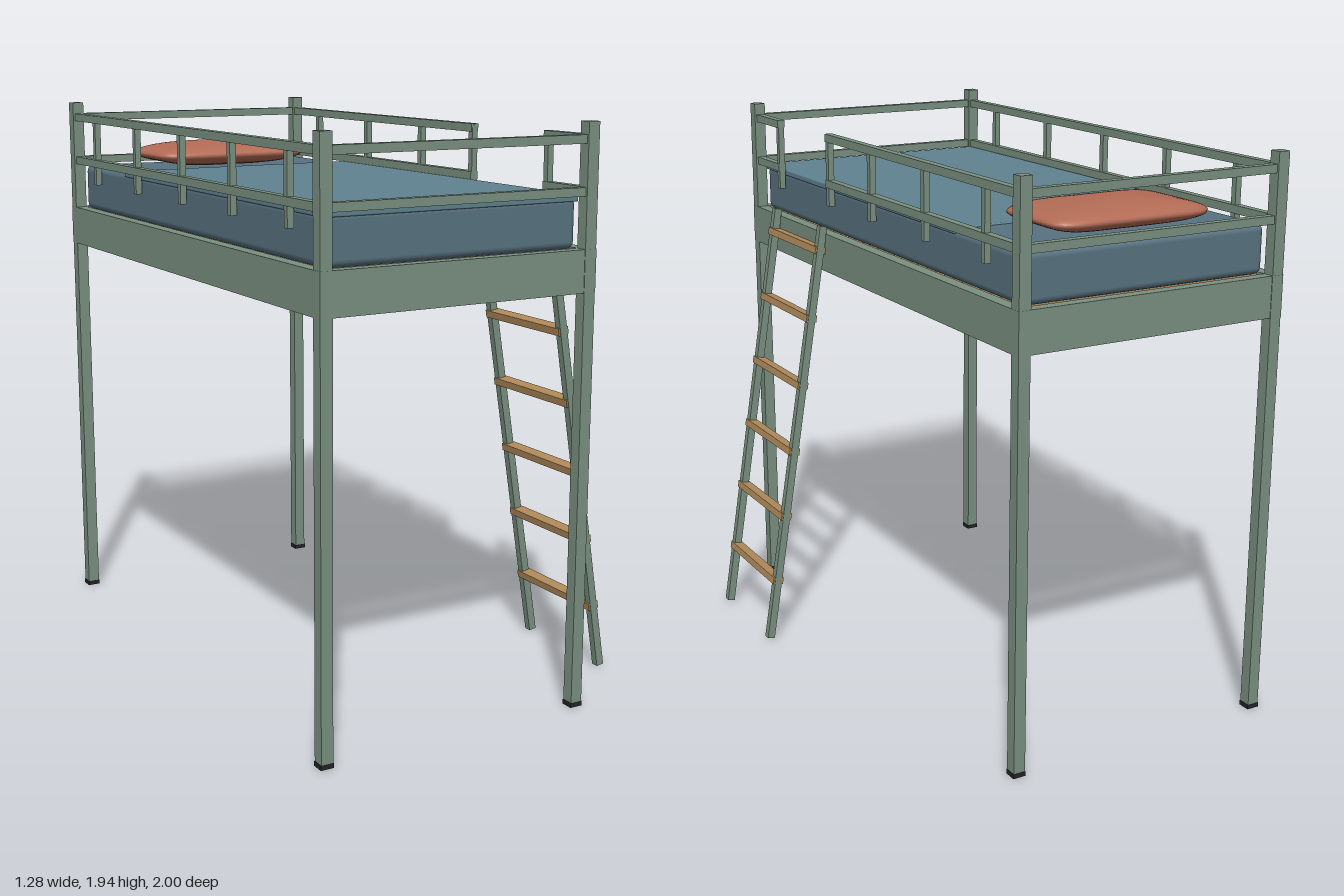
import * as THREE from 'three';
import { RoundedBoxGeometry } from 'three/addons/geometries/RoundedBoxGeometry.js';

const paint = (color) => new THREE.MeshStandardMaterial({ color });
const GREEN = paint(0x7a9080), WOOD = paint(0xb08a5a), DARK = paint(0x222426);
const SHEET = paint(0x587280), BLANKET = paint(0x5f828f), PILLOW = paint(0xb26b55);

const XL = 0.335, XR = -0.621, XM = (XL + XR) / 2; // post lines across the bed
const ZE = 0.978; // post lines along the bed
const POST = 0.042, RAIL = 0.028;

// Box given by its extents on each axis
function box(parent, name, mat, [x0, x1], [y0, y1], [z0, z1], radius = 0) {
  const s = [x1 - x0, y1 - y0, z1 - z0];
  const geo = radius ? new RoundedBoxGeometry(...s, 4, radius) : new THREE.BoxGeometry(...s);
  const mesh = new THREE.Mesh(geo, mat);
  mesh.name = name;
  mesh.position.set((x0 + x1) / 2, (y0 + y1) / 2, (z0 + z1) / 2);
  parent.add(mesh);
  return mesh;
}

const around = (c, size) => [c - size / 2, c + size / 2];

function group(parent, name) {
  const g = new THREE.Group();
  g.name = name;
  parent.add(g);
  return g;
}

// Two rails plus balusters along one long side
function guard(parent, name, x, z0, z1, balusters) {
  const g = group(parent, name);
  for (const y of [1.89, 1.726]) box(g, 'guardRail', GREEN, around(x, RAIL), around(y, RAIL), [z0, z1]);
  for (const z of balusters) box(g, 'baluster', GREEN, around(x, 0.022), [1.645, 1.9], around(z, 0.022));
}

// Cushion: a sphere squared off in plan
function pillowGeometry(hx, hy, hz) {
  const geo = new THREE.SphereGeometry(1, 64, 32);
  const p = geo.attributes.position;
  for (let i = 0; i < p.count; i++) {
    const x = p.getX(i), y = p.getY(i), z = p.getZ(i);
    const r = Math.hypot(x, z);
    const n = Math.pow(Math.abs(x) ** 7 + Math.abs(z) ** 7, 1 / 7) || 1;
    const k = r / n;
    p.setXYZ(i, x * k * hx, y * hy, z * k * hz);
  }
  geo.computeVertexNormals();
  return geo;
}

export function createModel() {
  const bed = new THREE.Group();
  bed.name = 'loftBed';

  // Posts with dark feet
  for (const x of [XL, XR]) for (const z of [ZE, -ZE]) {
    box(bed, 'post', GREEN, around(x, POST), [0.015, 1.945], around(z, POST));
    box(bed, 'foot', DARK, around(x, 0.046), [0, 0.016], around(z, 0.044));
  }

  // Deep frame beams
  const frame = group(bed, 'frame');
  for (const x of [XL, XR]) box(frame, 'sideBeam', GREEN, around(x, 0.044), [1.405, 1.545], [-1, 1]);
  for (const z of [ZE, -ZE]) box(frame, 'endBeam', GREEN, [XR, XL], [1.405, 1.545], around(z, 0.04));

  // Slats
  const slats = group(bed, 'slats');
  const count = 16;
  for (let i = 0; i < count; i++) {
    const z = -0.89 + (1.78 * i) / (count - 1);
    box(slats, 'slat', WOOD, [XR + 0.01, XL - 0.01], [1.515, 1.54], around(z, 0.06));
  }

  // Guard rails: full on the right, with a gap for the ladder on the left
  const steps = [-0.77, -0.385, 0];
  guard(bed, 'rightGuard', XR, -ZE, ZE, [...steps, 0.385, 0.77]);
  guard(bed, 'leftGuardHead', XL, -ZE, 0.34, [...steps, 0.33]);
  guard(bed, 'leftGuardFoot', XL, 0.755, ZE, [0.766]);
  for (const z of [ZE, -ZE]) for (const y of [1.89, 1.726])
    box(bed, 'endRail', GREEN, [XR, XL], around(y, RAIL), around(z, RAIL));

  // Bedding
  box(bed, 'mattress', SHEET, [-0.602, 0.315], [1.54, 1.708], [-0.948, 0.948], 0.025);
  box(bed, 'blanket', BLANKET, [-0.605, 0.318], [1.692, 1.714], [-0.545, 0.952], 0.005);
  const pillow = new THREE.Mesh(pillowGeometry(0.298, 0.047, 0.182), PILLOW);
  pillow.name = 'pillow';
  pillow.position.set(-0.143, 1.756, -0.72);
  bed.add(pillow);

  // Leaning ladder, built upright and then tilted
  const bottom = new THREE.Vector2(0.624, 0.008), top = new THREE.Vector2(0.364, 1.572);
  const length = bottom.distanceTo(top);
  const ladder = group(bed, 'ladder');
  ladder.position.set(bottom.x, bottom.y, 0);
  ladder.rotation.z = Math.atan2(bottom.x - top.x, top.y - bottom.y);
  for (const z of [0.75, 0.346]) box(ladder, 'ladderRail', GREEN, around(0, 0.028), [0, length], around(z, 0.027));
  for (let i = 0; i < 6; i++) {
    const along = (0.235 + 0.25 * i - bottom.y) / Math.cos(ladder.rotation.z);
    box(ladder, 'rung', WOOD, around(0, 0.04), around(along, 0.026), [0.335, 0.761]);
  }
  return bed;
}
